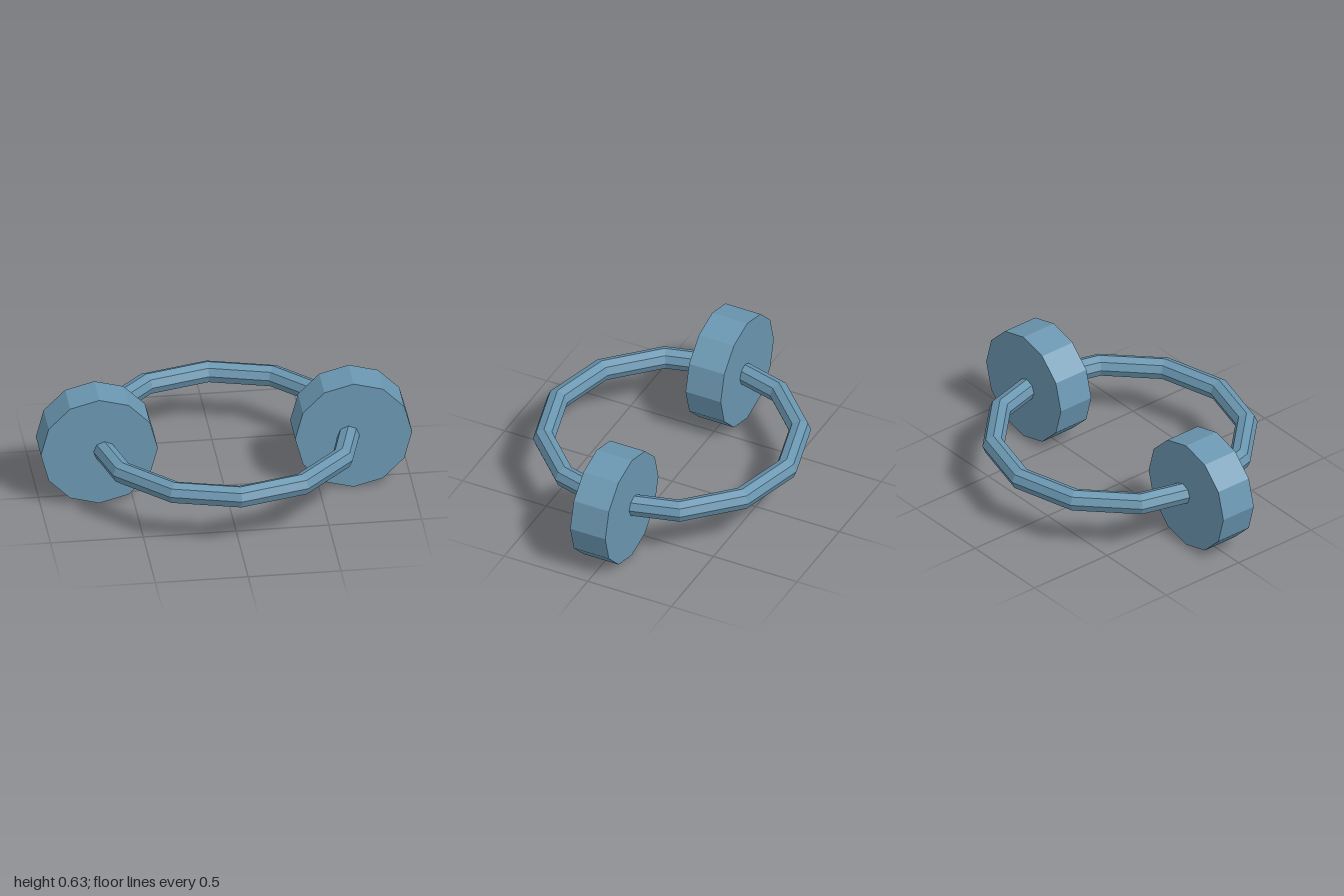
import * as THREE from 'three';

const RING_RADIUS = 0.685;
const DISC_RADIUS = 0.315;

export function createModel() {
  const model = new THREE.Group();
  model.name = 'ringWithDiscs';

  const steelBlue = new THREE.MeshStandardMaterial({ color: 0x6a96b0, flatShading: true });
  steelBlue.name = 'steelBlue';

  // Horizontal twelve-segment ring with an octagonal tube
  const ring = new THREE.Mesh(
    new THREE.TorusGeometry(RING_RADIUS, 0.06, 8, 12).rotateX(Math.PI / 2),
    steelBlue
  );
  ring.name = 'ring';
  ring.position.y = DISC_RADIUS;
  model.add(ring);

  // Upright twelve-sided discs threaded on opposite sides of the ring
  const discGeometry = new THREE.CylinderGeometry(DISC_RADIUS, DISC_RADIUS, 0.21, 12).rotateX(Math.PI / 2);
  for (const [name, side] of [['leftDisc', 1], ['rightDisc', -1]]) {
    const disc = new THREE.Mesh(discGeometry, steelBlue);
    disc.name = name;
    disc.position.set(side * RING_RADIUS, DISC_RADIUS, 0);
    model.add(disc);
  }

  return model;
}
